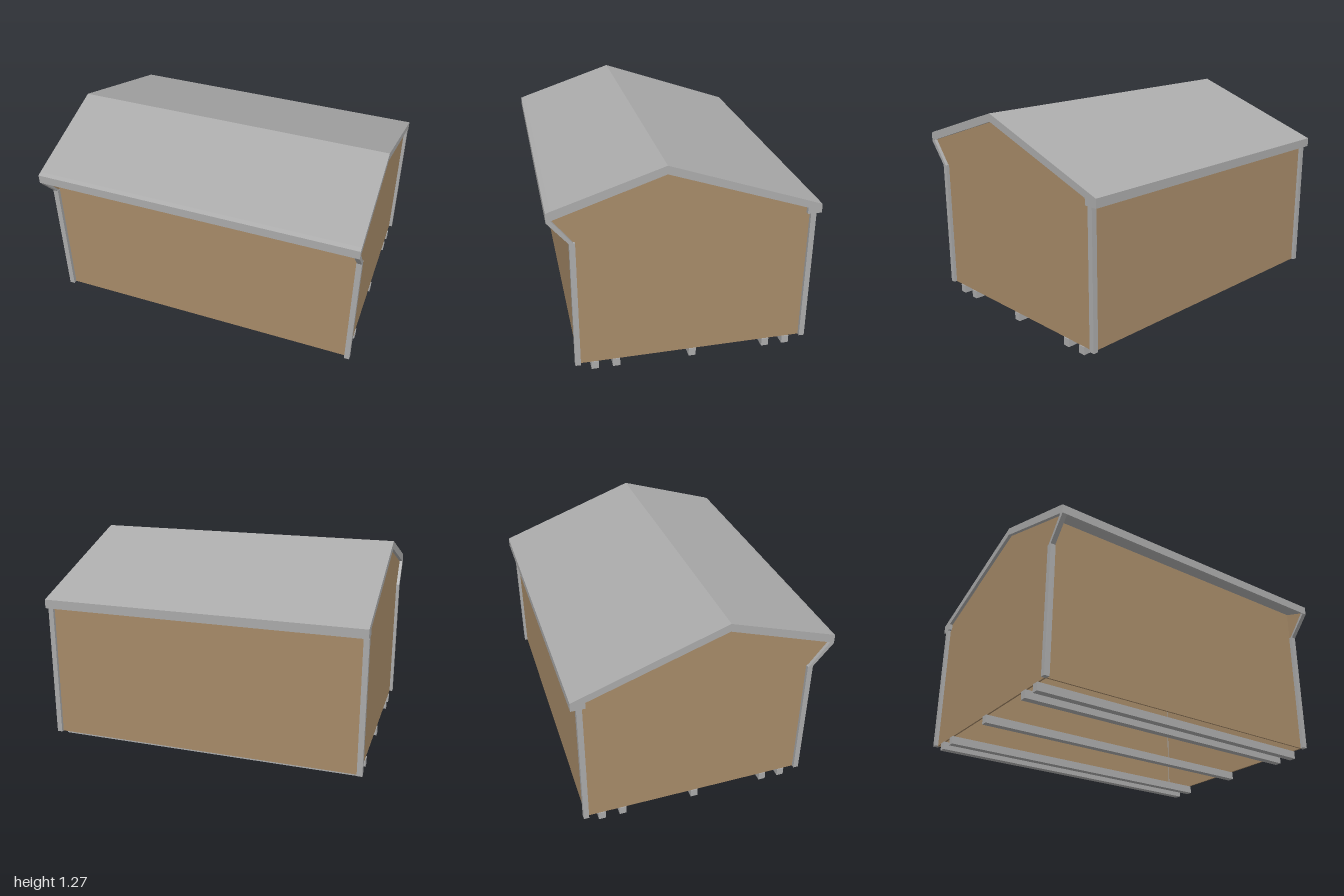
import * as THREE from 'three';

// Extrude a [z, y] outline along x between x0 and x1
function slab(outline, x0, x1) {
  const shape = new THREE.Shape(outline.map(([z, y]) => new THREE.Vector2(-z, y)));
  const geo = new THREE.ExtrudeGeometry(shape, { depth: x1 - x0, bevelEnabled: false });
  return geo.rotateY(Math.PI / 2).translate(x0, 0, 0);
}

function box(x0, x1, y0, y1, z0, z1) {
  return new THREE.BoxGeometry(x1 - x0, y1 - y0, z1 - z0)
    .translate((x0 + x1) / 2, (y0 + y1) / 2, (z0 + z1) / 2);
}

export function createModel() {
  const group = new THREE.Group();
  const metal = new THREE.MeshStandardMaterial({ color: 0xaaaaaa });
  metal.name = 'greyTrim';
  const panel = new THREE.MeshStandardMaterial({ color: 0xa68a68 });
  panel.name = 'tanPanel';

  const add = (name, geo, mat) => {
    const mesh = new THREE.Mesh(geo, mat);
    mesh.name = name;
    group.add(mesh);
  };

  const base = 0.05, wallX = 0.98, front = 0.645, back = -0.735, t = 0.01;

  // Roof with unequal slopes and a boxed rear eave
  add('roof', slab([
    [0.785, 1.0], [0.785, 1.055], [0.76, 1.065], [0.125, 1.27],
    [-0.785, 0.95], [-0.785, 0.895], [-0.7, 0.895], [-0.7, 0.935],
    [0.125, 1.22], [0.76, 1.01],
  ], -1, 1), metal);

  // Lining beneath the roof, seen from inside
  add('ceilingLining', slab([
    [front, 1.05], [0.125, 1.222], [-0.69, 0.94],
    [-0.69, 0.932], [0.125, 1.214], [front, 1.042],
  ], -wallX + t, wallX - t), panel);

  // Long walls; the building is open underneath
  add('frontWall', box(-wallX, wallX, base, 1.05, front - t, front), panel);
  add('backWall', box(-wallX, wallX, base, 0.9, back, back + t), panel);

  // Gable walls, flared below the front eave, with corner posts and brackets
  const gable = [
    [front, base], [front, 0.85], [0.77, 1.01], [0.125, 1.225],
    [-0.705, 0.935], [-0.705, 0.897], [back, 0.897], [back, base],
  ];
  const bracket = [[0.668, 0.86], [0.785, 1.0], [0.76, 1.011], [0.635, 0.85]];
  for (const [side, s] of [['left', 1], ['right', -1]]) {
    const span = (a, b) => (s > 0 ? [a, b] : [-b, -a]);
    add(side + 'GableWall', slab(gable, ...span(wallX - t, wallX)), panel);
    add(side + 'EaveBracket', slab(bracket, ...span(0.97, 1)), metal);
    add(side + 'FrontPost', box(...span(0.967, 1), base, 0.862, 0.635, 0.668), metal);
    add(side + 'BackPost', box(...span(0.967, 1), base, 0.9, -0.753, -0.72), metal);
  }

  // Runners carrying the building
  for (const z of [0.55, 0.422, -0.042, -0.505, -0.636]) {
    add('runner', box(-0.985, 0.985, 0, base, z - 0.022, z + 0.022), metal);
  }
  return group;
}
